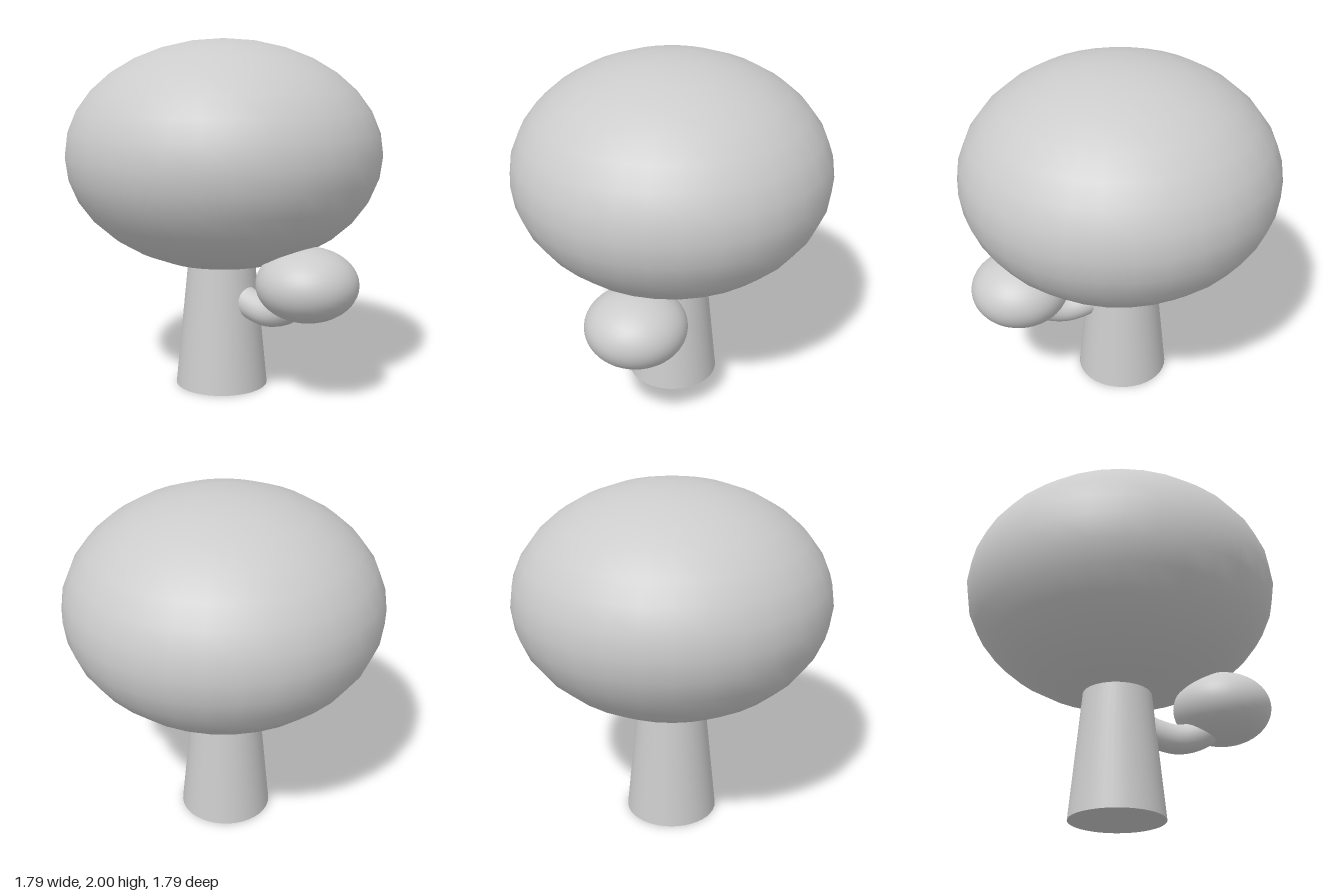
import * as THREE from 'three';

const material = new THREE.MeshStandardMaterial({ color: 0xcccccc });

function add(group, name, geometry, x = 0, y = 0, z = 0) {
  const mesh = new THREE.Mesh(geometry, material);
  mesh.name = name;
  mesh.position.set(x, y, z);
  group.add(mesh);
  return mesh;
}

export function createModel() {
  const tree = new THREE.Group();
  tree.name = 'tree';

  // Tapered trunk, running up into the foliage
  const trunkHeight = 0.9;
  add(tree, 'trunk', new THREE.CylinderGeometry(0.177, 0.267, trunkHeight, 40), 0, trunkHeight / 2, -0.015);

  // Large flattened crown
  add(tree, 'crown', new THREE.SphereGeometry(1, 32, 16), 0, 1.35, 0).scale.set(0.897, 0.648, 0.897);

  // Curved branch reaching forward from the trunk
  const path = new THREE.CatmullRomCurve3(
    [[0.08, 0.56], [0.2, 0.508], [0.33, 0.482], [0.46, 0.52], [0.6, 0.64]].map(
      ([z, y]) => new THREE.Vector3(0, y, z)
    )
  );
  add(tree, 'branch', new THREE.TubeGeometry(path, 28, 0.083, 20));

  // Small foliage clump at the end of the branch
  add(tree, 'branchFoliage', new THREE.SphereGeometry(1, 48, 24), 0, 0.682, 0.6).scale.set(0.28, 0.203, 0.28);

  return tree;
}
